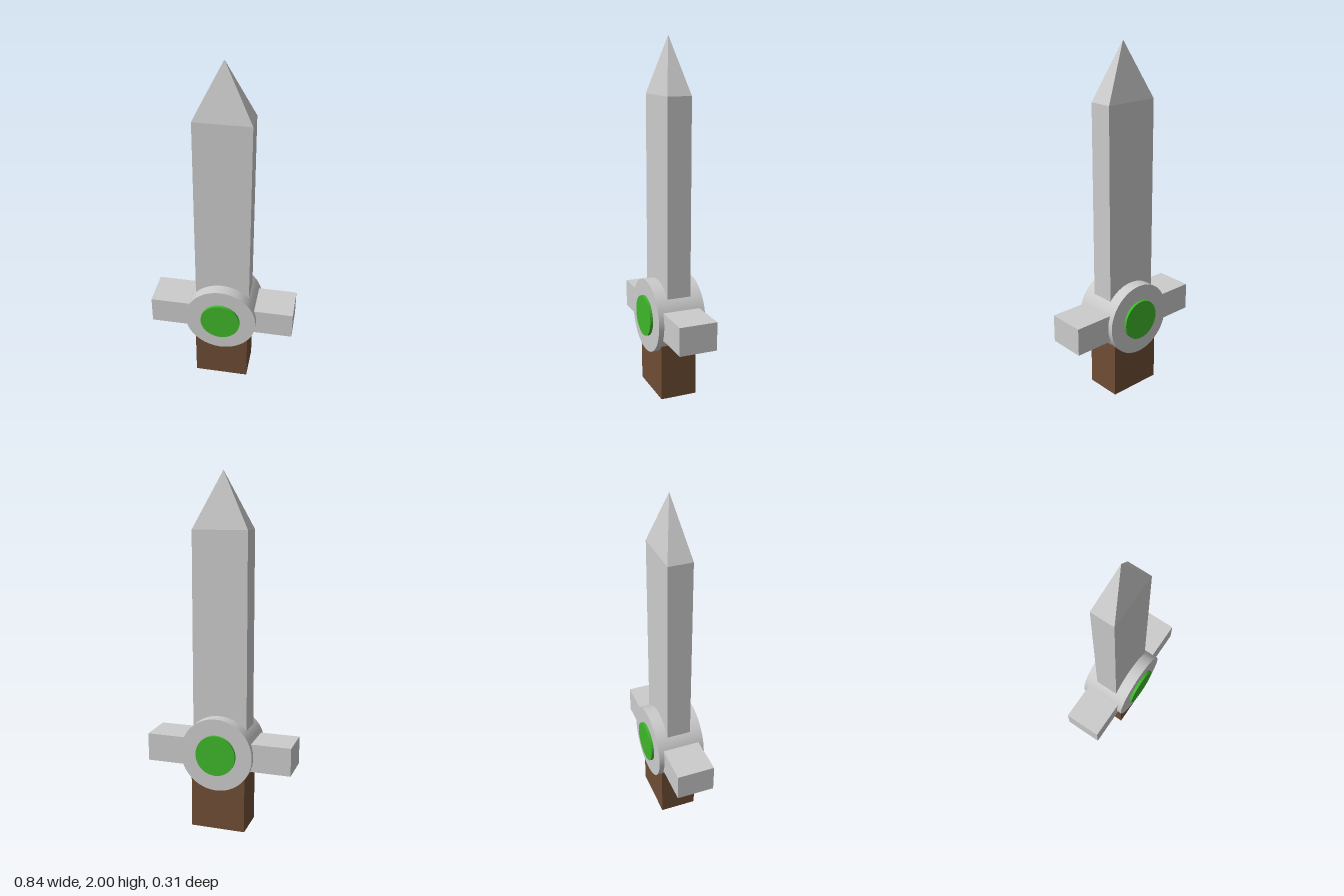
import * as THREE from 'three';

const material = (color) => new THREE.MeshStandardMaterial({ color });

export function createModel() {
  const sword = new THREE.Group();
  sword.name = 'sword';
  const metal = material(0xcccccc);
  const wood = material(0x6e4d35);
  const green = material(0x3fb62b);
  const hubY = 0.455;

  function add(name, geometry, mat, x, y, z) {
    const mesh = new THREE.Mesh(geometry, mat);
    mesh.name = name;
    mesh.position.set(x, y, z);
    sword.add(mesh);
    return mesh;
  }

  // Box spanning bottom to top, centred on x and z
  const block = (name, w, bottom, top, d, mat) =>
    add(name, new THREE.BoxGeometry(w, top - bottom, d), mat, 0, (bottom + top) / 2, 0);

  // Disc whose axis runs front to back
  const disc = (name, radius, depth, mat, z) =>
    add(name, new THREE.CylinderGeometry(radius, radius, depth, 64).rotateX(Math.PI / 2), mat, 0, hubY, z);

  block('grip', 0.314, 0, 0.42, 0.21, wood);
  block('crossguard', 0.84, 0.37, 0.53, 0.216, metal);
  disc('hub', 0.208, 0.276, metal, 0);

  // Green gem set into each face of the hub
  for (const side of [1, -1]) {
    disc(side > 0 ? 'frontGem' : 'backGem', 0.115, 0.04, green, side * 0.134);
  }

  // Open-topped blade capped by a four-sided point
  const bladeTop = 1.69;
  block('blade', 0.314, 0.5, bladeTop, 0.138, metal);
  const point = new THREE.ConeGeometry(Math.SQRT1_2, 2 - bladeTop, 4, 1, true)
    .rotateY(Math.PI / 4)
    .scale(0.314, 1, 0.138)
    .toNonIndexed();
  point.computeVertexNormals();
  add('bladePoint', point, metal, 0, (2 + bladeTop) / 2, 0);

  return sword;
}
